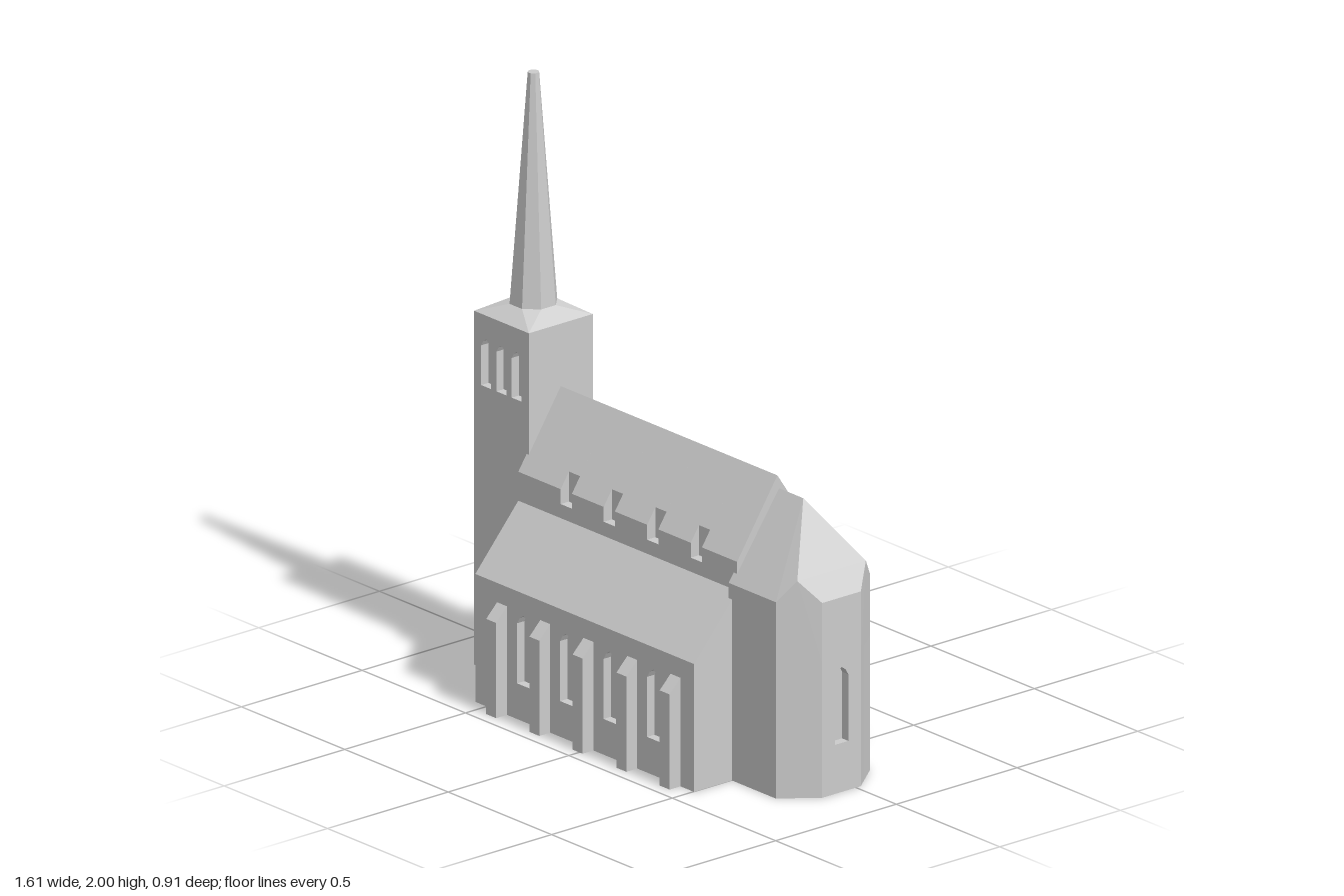
import * as THREE from 'three';
import { ConvexGeometry } from 'three/addons/geometries/ConvexGeometry.js';

const AXIS = 0.067;  // z of the nave ridge and the tower
const RECESS = 0.03; // depth of window openings

export function createModel() {
  const model = new THREE.Group();
  model.name = 'church';
  const stone = new THREE.MeshStandardMaterial({ color: 0xcccccc, flatShading: true });
  stone.name = 'pale stone';

  function add(name, geometry, x = 0, y = 0, z = 0, turn = 0) {
    const mesh = new THREE.Mesh(geometry, stone);
    mesh.name = name;
    mesh.position.set(x, y, z);
    mesh.rotation.y = turn;
    model.add(mesh);
    return mesh;
  }

  // Cross-section of [z, y] points swept from x0 to x1
  function sweep(name, section, x0, x1) {
    const shape = new THREE.Shape(section.map(([z, y]) => new THREE.Vector2(-z, y)));
    const geometry = new THREE.ExtrudeGeometry(shape, { depth: x1 - x0, bevelEnabled: false });
    geometry.rotateY(Math.PI / 2);
    return add(name, geometry, x0);
  }

  // Convex solid through a list of [x, y, z] points
  function hull(name, points) {
    return add(name, new ConvexGeometry(points.map(p => new THREE.Vector3(...p))));
  }

  // Wall slab with pointed window openings; its outer face lies at the given place
  function windowWall(name, width, height, windows, x, z, turn) {
    const w = width / 2;
    const shape = new THREE.Shape([[-w, 0], [w, 0], [w, height], [-w, height]].map(p => new THREE.Vector2(...p)));
    for (const { at, sill, top, wide } of windows) {
      const h = wide / 2, shoulder = top - wide * 0.55;
      shape.holes.push(new THREE.Path([
        [at - h, sill], [at - h, shoulder], [at - h * 0.6, top - wide * 0.2], [at, top],
        [at + h * 0.6, top - wide * 0.2], [at + h, shoulder], [at + h, sill],
      ].map(p => new THREE.Vector2(...p))));
    }
    const geometry = new THREE.ExtrudeGeometry(shape, { depth: RECESS, bevelEnabled: false });
    geometry.translate(0, 0, -RECESS);
    add(name, geometry, x, 0, z, turn);
  }

  const bays = [-0.323, -0.115, 0.095, 0.306];

  // Aisles with lean-to roofs; lower walls are set back to take the window walls
  const west = -0.555, east = 0.503, front = 0.412, back = -0.305;
  sweep('aisles', [
    [front - RECESS, 0], [front - RECESS, 0.4], [front, 0.4], [front, 0.43],
    [0.232, 0.635], [-0.097, 0.635], [back, 0.425], [back, 0.4],
    [back + RECESS, 0.4], [back + RECESS, 0],
  ], west, east);
  const middle = (west + east) / 2;
  for (const side of [1, -1]) {
    const windows = bays.map(x => ({ at: (x - middle) * side, sill: 0.12, top: 0.355, wide: 0.06 }));
    windowWall(side > 0 ? 'frontAisleWall' : 'backAisleWall', east - west, 0.4, windows,
      middle, side > 0 ? front : back, side > 0 ? 0 : Math.PI);
  }

  // Nave and its steep roof, notched at the eaves by the upper windows
  const naveHalf = [[0.167, 0.5], [0.167, 0.73]];
  const notchHalf = [[0.167, 0.5], [0.167, 0.68], [0.133, 0.68], [0.133, 0.781]];
  const naveSection = half => [
    ...half.map(([z, y]) => [AXIS + z, y]), [AXIS, 0.98],
    ...half.slice().reverse().map(([z, y]) => [AXIS - z, y]),
  ];
  let start = west;
  for (const x of bays) {
    sweep('naveBay', naveSection(naveHalf), start, x - 0.027);
    sweep('naveUpperWindows', naveSection(notchHalf), x - 0.027, x + 0.027);
    start = x + 0.027;
  }
  sweep('naveBay', naveSection(naveHalf), start, east);

  // Buttresses with sloping tops
  for (const x of [-0.426, -0.217, -0.008, 0.204, 0.413]) {
    for (const [wall, out] of [[front, 1], [back, -1]]) {
      const inner = wall - 0.01 * out, outer = wall + 0.045 * out;
      sweep('buttress', [[inner, 0], [inner, 0.37], [wall, 0.365], [outer, 0.32], [outer, 0]],
        x - 0.024, x + 0.024);
    }
  }

  // Lean-to annex at the back
  sweep('annex', [[-0.295, 0], [-0.295, 0.46], [-0.457, 0.28], [-0.457, 0]], -0.563, -0.212);

  // Apse: hipped upper part over a lower part with an east window
  const apseZ = 0.06, split = 0.45;
  const apse = (list, sides = [1, -1]) =>
    list.flatMap(([x, y, z]) => sides.map(s => [x, y, apseZ + s * z]));
  hull('apseRoofAndUpperWall', apse([
    [0.487, split, 0.195], [0.715, split, 0.195], [0.805, split, 0.08],
    [0.487, 0.66, 0.195], [0.715, 0.66, 0.195], [0.805, 0.655, 0.08],
    [0.757, 0.73, 0.142], [0.62, 0.935, 0], [0.487, 0.935, 0],
  ]));
  const prism = plan => [0, split].flatMap(y => plan.map(([x, z]) => [x, y, z]));
  hull('apseLowerWall', apse(prism([[0.487, 0.195], [0.715, 0.195], [0.775, 0.118]])));
  for (const s of [1, -1]) {
    hull('apseCorner', apse(prism([[0.775, 0.08], [0.775, 0.118], [0.805, 0.08]]), [s]));
  }
  windowWall('apseEndWall', 0.16, split, [{ at: 0, sill: 0.165, top: 0.42, wide: 0.056 }],
    0.805, apseZ, Math.PI / 2);

  // Tower: plain core with window walls on three sides
  const towerX = -0.677, half = 0.1325, height = 1.19;
  add('towerCore', new THREE.BoxGeometry(2 * half - RECESS, height, 2 * (half - RECESS)),
    towerX + RECESS / 2, height / 2, AXIS);
  const belfry = [-0.074, 0, 0.074].map(at => ({ at, sill: 0.95, top: 1.11, wide: 0.048 }));
  windowWall('towerFrontWall', 2 * half, height, belfry, towerX, AXIS + half, 0);
  windowWall('towerBackWall', 2 * half, height, belfry, towerX, AXIS - half, Math.PI);
  windowWall('towerWestWall', 2 * (half - RECESS), height, [
    ...belfry,
    { at: 0, sill: 0.35, top: 0.58, wide: 0.056 },
    { at: 0, sill: 0.04, top: 0.21, wide: 0.056 },
  ], towerX - half, AXIS, -Math.PI / 2);

  // Tower cap blending the square into the octagonal spire
  const cap = [];
  for (const sx of [1, -1]) for (const sz of [1, -1]) cap.push([towerX + sx * half, height, AXIS + sz * half]);
  for (let i = 0; i < 8; i++) {
    const a = (i + 0.5) * Math.PI / 4;
    cap.push([towerX + 0.079 * Math.cos(a), 1.228, AXIS + 0.079 * Math.sin(a)]);
  }
  hull('towerCap', cap);

  // Eight-sided parts, with flats facing the axes
  const octagon = (top, bottom, h) => new THREE.CylinderGeometry(top, bottom, h, 8).rotateY(Math.PI / 8);
  add('spire', octagon(0.019, 0.079, 0.772), towerX, 1.614, AXIS);
  add('stairTurret', octagon(0.078, 0.078, 0.368), -0.627, 0.184, 0.215);
  add('stairTurretRoof', octagon(0.022, 0.078, 0.062), -0.627, 0.399, 0.215);

  return model;
}
